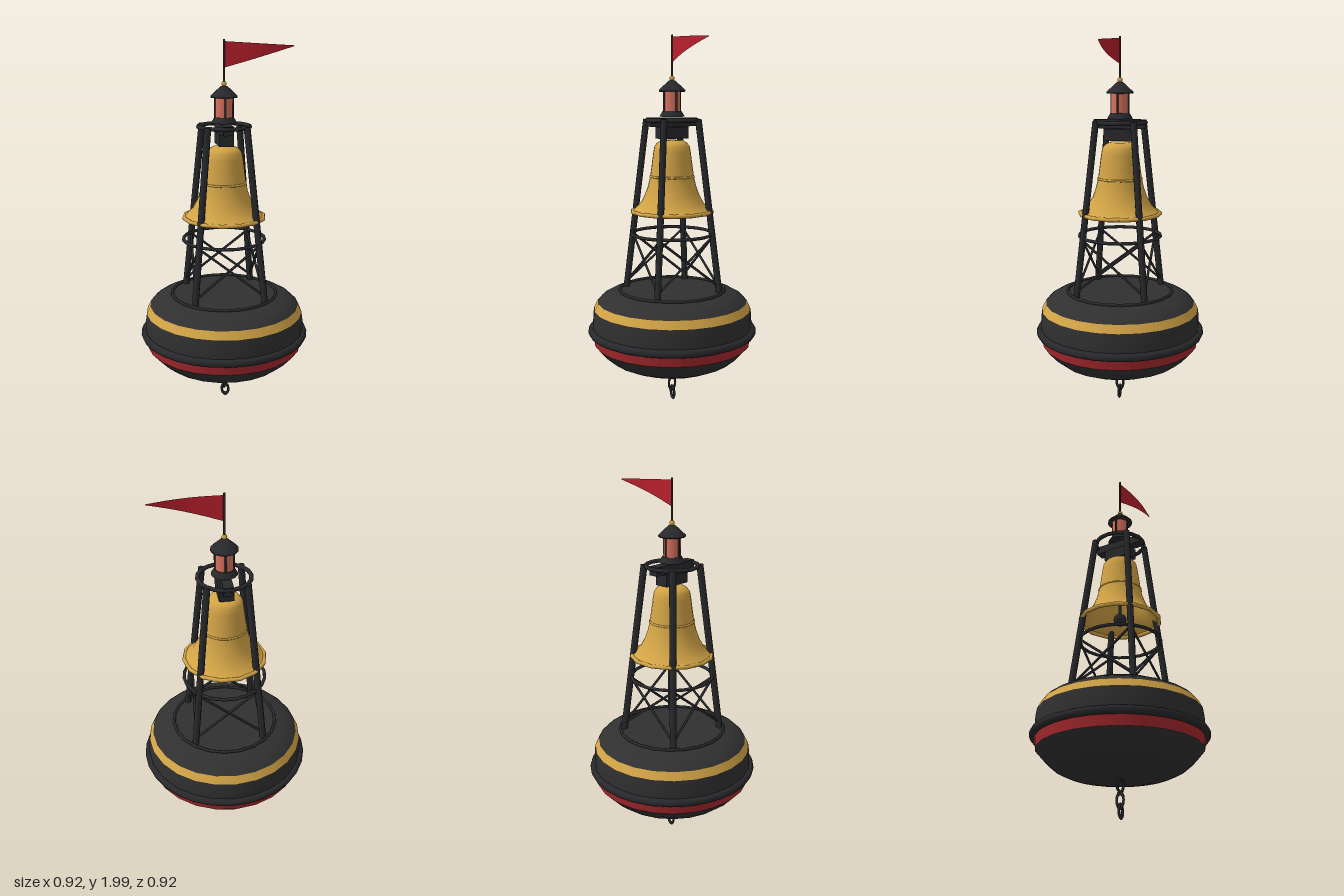
import * as THREE from 'three';

const mat = (name, color, side = THREE.FrontSide) => {
  const m = new THREE.MeshStandardMaterial({ color, side });
  m.name = name;
  return m;
};

export function createModel() {
  const black = mat('hull black', 0x303031);
  const iron = mat('dark iron', 0x28292c);
  const gold = mat('gold', 0xd3a446, THREE.DoubleSide);
  const red = mat('band red', 0xa5282d);
  const flagRed = mat('flag red', 0xb81f2c, THREE.DoubleSide);
  const glass = mat('lamp glass', 0xd9735e);

  const root = new THREE.Group();
  root.name = 'bellBuoy';

  const add = (name, geo, material, x = 0, y = 0, z = 0) => {
    const m = new THREE.Mesh(geo, material);
    m.name = name;
    m.position.set(x, y, z);
    root.add(m);
    return m;
  };
  const lathe = (name, pts, material, sides = 24) =>
    add(name, new THREE.LatheGeometry(pts.map(p => new THREE.Vector2(...p)), sides), material);
  const hoop = (name, r, tube, y, material, sides = 20) =>
    add(name, new THREE.TorusGeometry(r, tube, 8, sides).rotateX(Math.PI / 2), material, 0, y);
  const rod = (name, a, b, r, material, sides = 8) => {
    const from = new THREE.Vector3(...a), to = new THREE.Vector3(...b);
    const m = add(name, new THREE.CylinderGeometry(r, r, from.distanceTo(to), sides), material);
    m.position.copy(from).add(to).multiplyScalar(0.5);
    m.quaternion.setFromUnitVectors(new THREE.Vector3(0, 1, 0), to.sub(from).normalize());
    return m;
  };

  // Float hull, split into painted bands
  lathe('hullBottom', [[0, 0.212], [0.2, 0.215], [0.275, 0.23], [0.335, 0.258], [0.385, 0.3], [0.428, 0.348]], black);
  lathe('redBand', [[0.428, 0.348], [0.436, 0.405]], red);
  lathe('hullSide', [[0.436, 0.405], [0.438, 0.45], [0.436, 0.5], [0.43, 0.541]], black);
  lathe('goldBand', [[0.43, 0.541], [0.409, 0.582]], gold);
  lathe('hullShoulder', [[0.409, 0.582], [0.385, 0.605], [0.345, 0.627], [0.29, 0.64]], black);
  lathe('deck', [[0.29, 0.64], [0, 0.643]], black);
  hoop('deckRim', 0.287, 0.008, 0.645, iron, 22);
  hoop('bumper', 0.44, 0.022, 0.42, iron, 30);

  // Tower: four leaning legs, braces and hoops
  const legAt = (k, y) => {
    const d = 0.187 - 0.085 * (y - 0.64) / 0.92;
    const a = Math.PI / 4 + k * Math.PI / 2;
    return [d * Math.SQRT2 * Math.cos(a), y, d * Math.SQRT2 * Math.sin(a)];
  };
  for (let k = 0; k < 4; k++) {
    rod('towerLeg', legAt(k, 0.635), legAt(k, 1.565), 0.018, iron);
    rod('crossBrace', legAt(k, 0.675), legAt(k + 1, 0.945), 0.007, iron, 6);
    rod('crossBrace', legAt(k + 1, 0.675), legAt(k, 0.945), 0.007, iron, 6);
  }
  hoop('middleHoop', 0.22, 0.009, 0.953, iron, 22);
  hoop('topHoop', 0.136, 0.011, 1.56, iron, 18);

  // Bell with its hanger and clapper
  lathe('bell', [[0.222, 1.075], [0.2, 1.088], [0.17, 1.12], [0.146, 1.165], [0.128, 1.215],
    [0.117, 1.265], [0.108, 1.33], [0.1, 1.39], [0.094, 1.423], [0.08, 1.442], [0.055, 1.455], [0, 1.458]], gold);
  hoop('bellRim', 0.216, 0.011, 1.075, gold, 14);
  hoop('bellBand', 0.116, 0.006, 1.263, gold);
  rod('clapperRod', [0, 1.08, 0], [0, 1.44, 0], 0.009, iron);
  add('clapper', new THREE.SphereGeometry(0.036, 12, 8), iron, 0, 1.083);
  add('bellYoke', new THREE.BoxGeometry(0.076, 0.062, 0.158), iron, 0, 1.495);
  add('crossbar', new THREE.BoxGeometry(0.054, 0.046, 0.276), iron, 0, 1.551);

  // Lantern
  add('lanternBase', new THREE.CylinderGeometry(0.05, 0.068, 0.03, 16), iron, 0, 1.594);
  add('lanternGlass', new THREE.CylinderGeometry(0.046, 0.046, 0.11, 16), glass, 0, 1.66);
  for (let k = 0; k < 4; k++) {
    const x = 0.047 * Math.cos(k * Math.PI / 2), z = 0.047 * Math.sin(k * Math.PI / 2);
    rod('lanternPost', [x, 1.6, z], [x, 1.72, z], 0.006, iron, 6);
  }
  lathe('lanternRoof', [[0, 1.709], [0.07, 1.709], [0.07, 1.718], [0.018, 1.766], [0, 1.768]], iron, 16);
  add('finial', new THREE.SphereGeometry(0.014, 10, 8), gold, 0, 1.778);
  rod('flagpole', [0, 1.77, 0], [0, 2, 0], 0.006, iron);

  // Pennant, tapered and bowed along its length
  const flag = new THREE.PlaneGeometry(1, 1, 12, 1);
  const p = flag.attributes.position;
  for (let i = 0; i < p.count; i++) {
    const t = p.getX(i) + 0.5;
    const y = p.getY(i) > 0 ? 1.99 - 0.022 * t : 1.86 + 0.104 * t;
    p.setXYZ(i, 0.004 + 0.364 * t, y, 0.018 * Math.sin(Math.PI * t));
  }
  flag.computeVertexNormals();
  add('pennant', flag, flagRed);

  // Mooring chain: alternating links
  [[0.178, 0.032, 1.1, 0], [0.102, 0.02, 1.8, Math.PI / 2], [0.05, 0.019, 1.65, 0]].forEach(([y, r, stretch, turn], i) => {
    const link = add('chainLink', new THREE.TorusGeometry(r, 0.007, 6, 14).scale(1, stretch, 1), iron, i === 2 ? 0.006 : 0, y);
    link.rotation.set(0, turn, i === 2 ? 0.12 : 0);
  });
  return root;
}
